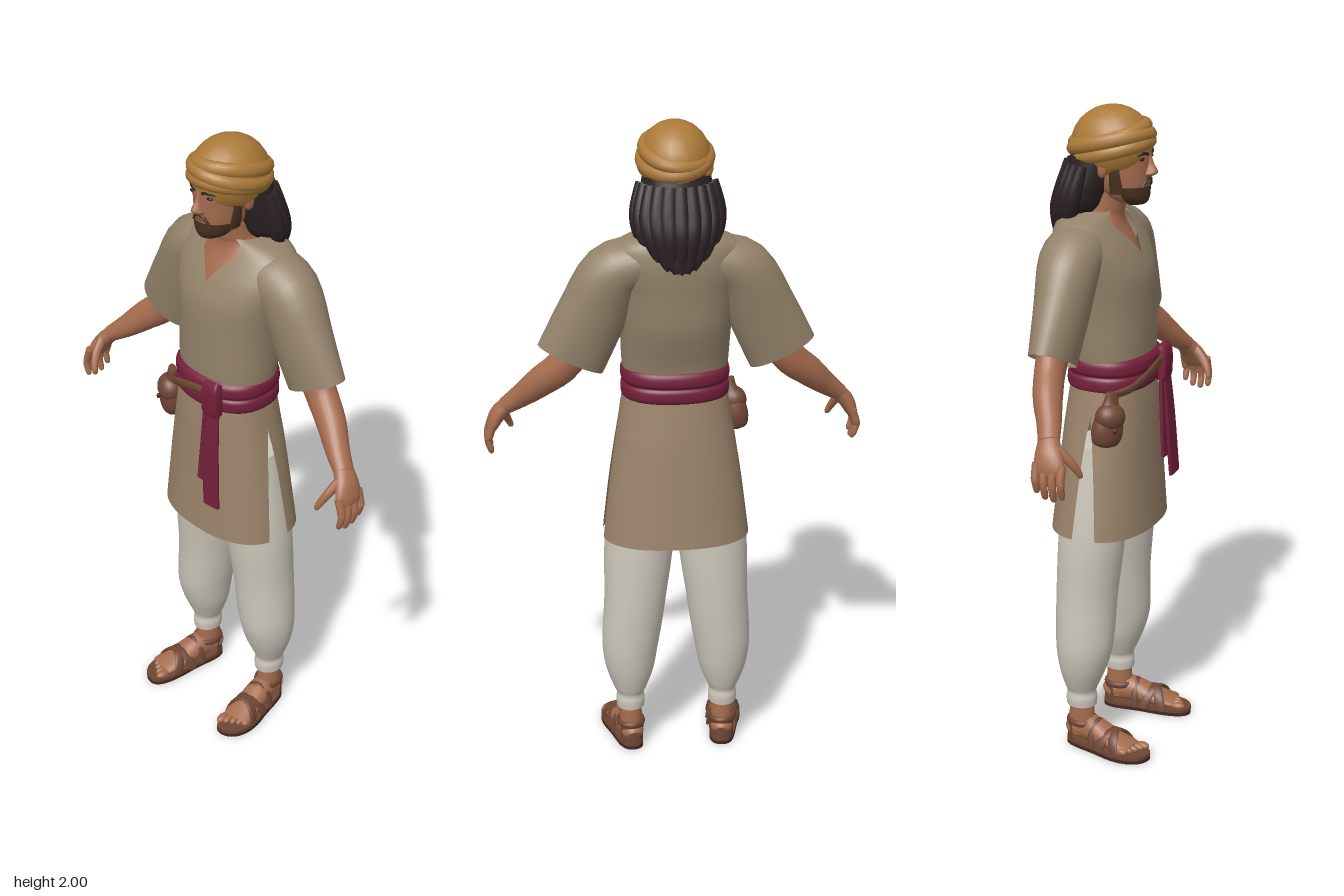
import * as THREE from 'three';

const mat = (name, color, side = THREE.FrontSide) => {
  const m = new THREE.MeshStandardMaterial({ color, side });
  m.name = name;
  return m;
};
const D = THREE.DoubleSide, PI = Math.PI;

// Catmull-Rom interpolation between rows of numbers
function smooth(rows, k) {
  const out = [], n = rows.length - 1;
  for (let i = 0; i < n; i++) for (let s = 0; s < k; s++) {
    const t = s / k, p = [rows[Math.max(i - 1, 0)], rows[i], rows[i + 1], rows[Math.min(i + 2, n)]];
    out.push(rows[i].map((_, c) => {
      const [a, b, d, e] = p.map(r => r[c]);
      return b + 0.5 * t * (d - a + t * (2 * a - 5 * b + 4 * d - e + t * (3 * (b - d) + e - a)));
    }));
  }
  out.push(rows[n]);
  return out;
}

// Skin over oval sections. Row: [x, y, z, radiusU, radiusV, startAngle, endAngle]
// level: keep sections horizontal; e: 1 is oval, less is squarer; ref: direction of radiusV
function loft(rows, { k = 4, seg = 24, level = false, e = 1, ref = [0, 0, 1], caps = true } = {}) {
  const closed = rows[0].length === 5;
  const R = smooth(rows.map(r => closed ? [...r, 0, 2 * PI] : r), k);
  const C = R.map(r => new THREE.Vector3(r[0], r[1], r[2]));
  const pos = [], idx = [], W = seg + 1, n = R.length;
  const pw = v => Math.sign(v) * Math.abs(v) ** e;
  R.forEach((r, i) => {
    const t = C[Math.min(i + 1, n - 1)].clone().sub(C[Math.max(i - 1, 0)]);
    if (level) t.set(0, Math.sign(t.y), 0);
    t.normalize();
    const v = new THREE.Vector3(...ref);
    v.addScaledVector(t, -v.dot(t)).normalize();
    const u = v.clone().cross(t);
    for (let j = 0; j <= seg; j++) {
      const a = r[5] + (r[6] - r[5]) * j / seg;
      const p = C[i].clone().addScaledVector(u, r[3] * pw(Math.cos(a))).addScaledVector(v, r[4] * pw(Math.sin(a)));
      pos.push(p.x, p.y, p.z);
    }
  });
  const nx = j => closed ? (j + 1) % seg : j + 1;
  for (let i = 0; i < n - 1; i++) for (let j = 0; j < seg; j++) {
    const a = i * W + j, b = i * W + nx(j), c = b + W, d = a + W;
    idx.push(a, b, c, a, c, d);
  }
  if (caps && closed) [0, n - 1].forEach(i => {
    const base = pos.length / 3;
    for (let j = 0; j < seg; j++) pos.push(...pos.slice((i * W + j) * 3, (i * W + j) * 3 + 3));
    pos.push(C[i].x, C[i].y, C[i].z);
    for (let j = 0; j < seg; j++) {
      const a = base + j, b = base + (j + 1) % seg;
      idx.push(...(i ? [a, b, base + seg] : [b, a, base + seg]));
    }
  });
  const g = new THREE.BufferGeometry();
  g.setAttribute('position', new THREE.Float32BufferAttribute(pos, 3));
  g.setIndex(idx);
  g.computeVertexNormals();
  return g;
}

export function createModel() {
  const M = {
    tunic: mat('tunic cloth', 0x94826a, D), skirt: mat('skirt cloth', 0x9a836a, D),
    sash: mat('sash red', 0x74203a), turban: mat('turban ochre', 0xac7a39),
    hair: mat('hair black', 0x2b2122), skin: mat('skin', 0xa56c4e),
    leather: mat('leather', 0x6f4634), pants: mat('trouser white', 0xccc6ba, D),
    sole: mat('sole dark', 0x402822), beard: mat('beard brown', 0x47301f, D),
  };
  const root = new THREE.Group();
  const add = (name, geo, m, parent = root) => {
    const mesh = new THREE.Mesh(geo, m);
    mesh.name = name;
    parent.add(mesh);
    return mesh;
  };
  const ball = (name, m, p, s, parent = root) => {
    const b = add(name, new THREE.SphereGeometry(1, 20, 14), m, parent);
    b.position.set(...p);
    b.scale.set(...s);
    return b;
  };
  const lv = (o = {}) => ({ level: true, seg: 40, ...o });

  // Tunic body, with a neck slit at the front
  const body = [[1.2, 0, .152, .112, 0], [1.28, -.003, .16, .118, 0], [1.4, -.02, .166, .134, 0], [1.5, -.026, .18, .135, 0],
    [1.565, -.04, .198, .126, 0], [1.61, -.052, .2, .113, .12], [1.65, -.062, .185, .096, .3], [1.677, -.064, .14, .082, .42], [1.692, -.058, .08, .074, .5]];
  add('tunicBody', loft(body.map(([y, z, rx, rz, g]) => [0, y, z, rx, rz, PI / 2 + g, 2.5 * PI - g]), lv({ e: .88, seg: 48 })), M.tunic);

  // Tunic skirt: front and back panels with side slits
  const skirt = [[1.22, 0, .152, .112, 0], [1.1, -.003, .17, .126, 0], [1.03, -.006, .182, .132, .25], [.9, -.01, .202, .141, .65], [.72, -.015, .225, .155, 1]];
  add('skirtFront', loft(skirt.map(([y, z, rx, rz, g]) => [0, y, z, rx, rz, .24 * g, PI - .24 * g]), lv({ e: .85 })), M.skirt);
  add('skirtBack', loft(skirt.map(([y, z, rx, rz, g]) => [0, y, z, rx, rz, PI + .13 * g, 2 * PI - .13 * g]), lv({ e: .85 })), M.skirt);

  // Sash, knot, hanging tails
  add('sash', loft([[0, 1.165, 0, .15, .112], [0, 1.177, 0, .162, .127], [0, 1.205, 0, .162, .128], [0, 1.216, 0, .156, .122],
    [0, 1.228, 0, .163, .13], [0, 1.255, 0, .162, .128], [0, 1.268, 0, .15, .114]], lv({ e: .85 })), M.sash);
  const flat = { e: .4, seg: 16 };
  add('sashKnot', loft([[.072, 1.165, .127, .028, .012], [.072, 1.18, .13, .032, .018], [.072, 1.25, .13, .032, .018], [.07, 1.27, .12, .028, .012]], flat), M.sash);
  add('sashTail', loft([[.078, 1.2, .132, .024, .007], [.083, 1.05, .146, .03, .007], [.096, .858, .157, .032, .006]], flat), M.sash);
  add('sashTail', loft([[.06, 1.2, .13, .02, .006], [.055, 1.05, .138, .023, .006], [.05, .925, .146, .024, .005]], flat), M.sash);

  // Pouch and its strap
  const strap = [];
  for (let i = 0; i <= 6; i++) {
    const x = -.163 + .035 * i;
    strap.push([x, 1.165 + .07 * Math.sin(i / 6 * PI / 2), .137 * (1 - Math.abs(x / .17) ** 2.35) ** .425, .014, .006]);
  }
  add('pouchStrap', loft(strap, { seg: 12 }), M.leather);
  const pouch = new THREE.Group();
  pouch.name = 'pouch';
  pouch.position.set(-.183, 1.09, .06);
  pouch.rotation.set(0, -.6, -.15);
  root.add(pouch);
  add('pouchBag', loft([[0, -.07, 0, .02, .014], [0, -.058, 0, .042, .03], [0, -.02, 0, .05, .038], [0, .03, 0, .04, .03], [0, .065, 0, .024, .018], [0, .095, 0, .02, .012]], lv()), M.leather, pouch);
  ball('pouchFlap', M.leather, [0, .022, .006], [.047, .043, .04], pouch);
  ball('pouchToggle', M.sole, [0, -.012, .042], [.007, .009, .006], pouch);

  // Neck and chest, head
  add('neck', loft([[0, 1.5, -.03, .1, .12], [0, 1.58, -.045, .12, .108], [0, 1.64, -.052, .1, .084], [0, 1.675, -.045, .068, .07],
    [0, 1.7, -.033, .058, .064], [0, 1.79, -.012, .056, .06]], lv()), M.skin);
  add('head', loft([[0, 1.715, .05, .03, .04], [0, 1.735, .036, .054, .064], [0, 1.77, .02, .069, .087], [0, 1.82, .008, .077, .102],
    [0, 1.87, .001, .08, .111], [0, 1.93, 0, .07, .1]], lv()), M.skin);
  add('nose', loft([[0, 1.793, .1, .012, .008], [0, 1.803, .106, .02, .024], [0, 1.812, .108, .017, .028], [0, 1.835, .106, .01, .017], [0, 1.868, .1, .009, .012]], lv({ seg: 16 })), M.skin);
  add('beard', loft([[0, 1.709, .052, .018, .026], [0, 1.717, .052, .036, .048], [0, 1.737, .038, .059, .07], [0, 1.768, .02, .072, .089]].map((r, i) => [...r, .05 + .06 * i, PI - .05 - .06 * i]), lv()), M.beard);
  add('mouth', new THREE.SphereGeometry(1, 16, 8).scale(.02, .005, .006).translate(0, 1.777, .105), M.leather);
  for (const s of [-1, 1]) {
    add('moustache', loft([[0, 1.79, .109, .004, .005], [s * .016, 1.787, .107, .005, .005], [s * .031, 1.766, .1, .003, .005]], { seg: 10 }), M.beard);
    add('sideburn', loft([[s * .076, 1.84, .03, .005, .014], [s * .074, 1.8, .032, .006, .018], [s * .066, 1.75, .035, .006, .022]], { seg: 12 }), M.beard);
    ball('ear', M.skin, [s * .084, 1.825, -.005], [.01, .028, .018]);
    ball('eye', M.hair, [s * .032, 1.85, .1], [.014, .005, .006]);
    add('eyebrow', loft([[s * .014, 1.863, .111, .004, .004], [s * .034, 1.868, .105, .005, .004], [s * .056, 1.861, .087, .002, .004]], { seg: 10 }), M.hair);
  }

  // Hair mass and locks
  add('hair', loft([[0, 1.87, -.035, .095, .09], [0, 1.8, -.06, .108, .084], [0, 1.74, -.085, .12, .08], [0, 1.7, -.1, .116, .076],
    [0, 1.655, -.13, .09, .052], [0, 1.615, -.158, .055, .028], [0, 1.59, -.172, .025, .012]], lv()), M.hair);
  for (let i = -5; i <= 5; i++) {
    const a = i / 5 * 1.5, x = Math.sin(a), c = Math.cos(a);
    add('hairLock', loft([[x * .1, 1.83, -.05 - .085 * c, .02, .015], [x * .115, 1.75, -.07 - .085 * c, .026, .022],
      [x * .108, 1.69, -.088 - .083 * c, .024, .022], [x * .085, 1.65 - .03 * c, -.105 - .07 * c, .016, .014], [x * .07, 1.635 - .05 * c, -.11 - .07 * c, .003, .003]], { seg: 12 }), M.hair);
  }

  // Turban: crown and wound rolls
  const turban = new THREE.Group();
  turban.name = 'turban';
  turban.position.set(0, 1.878, -.007);
  turban.rotation.x = -.25;
  root.add(turban);
  ball('turbanCrown', M.turban, [0, .005, 0], [.107, .113, .124], turban);
  [[-.01, .092, .02, .03], [.012, .095, .021, -.1], [.033, .09, .02, .1]].forEach(([y, r, t, tilt]) => {
    const roll = add('turbanRoll', new THREE.TorusGeometry(r, t, 12, 48).rotateX(PI / 2).scale(1, 1.1, 1.18), M.turban, turban);
    roll.position.y = y;
    roll.rotation.z = tilt;
  });

  for (const s of [-1, 1]) {
    const at = rows => rows.map(([x, ...r]) => [s * x, ...r]);
    // Sleeve, arm, hand
    add('sleeve', loft(at([[.1, 1.6, -.06, .07, .09], [.188, 1.563, -.058, .092, .092], [.25, 1.44, -.055, .103, .078], [.315, 1.306, -.055, .106, .063]]), { caps: false, seg: 32 }), M.tunic);
    add('arm', loft(at([[.24, 1.46, -.055, .06, .05], [.325, 1.3, -.055, .052, .045], [.4, 1.23, -.03, .046, .043], [.46, 1.175, .002, .035, .036], [.51, 1.135, .025, .025, .031]])), M.skin);
    add('palm', loft(at([[.5, 1.143, .02, .024, .03], [.53, 1.11, .033, .024, .04], [.548, 1.075, .042, .019, .047], [.555, 1.055, .044, .012, .042]])), M.skin);
    for (let i = 0; i < 4; i++) {
      const z = .004 + .026 * i, tip = [.02, .004, 0, .01][i];
      add('finger', loft(at([[.547, 1.085, z, .012, .013], [.56, 1.045, z + .001, .012, .012], [.563, 1.015 + tip, z + .003, .01, .011], [.554, .984 + tip, z + .003, .008, .009], [.552, .977 + tip, z + .003, .002, .002]]), { seg: 12 }), M.skin);
    }
    add('thumb', loft(at([[.52, 1.125, .05, .014, .016], [.51, 1.09, .085, .013, .015], [.498, 1.06, .105, .011, .011], [.49, 1.04, .112, .008, .008], [.488, 1.034, .113, .002, .002]]), { seg: 12 }), M.skin);

    // Loose trouser leg with gathered cuff
    add('trouserLeg', loft(at([[.095, 1, -.015, .085, .09], [.112, .72, -.024, .106, .101], [.127, .52, -.035, .096, .095], [.137, .42, -.036, .092, .092],
      [.145, .34, -.037, .086, .088], [.146, .27, -.042, .074, .074], [.146, .21, -.047, .052, .054], [.146, .187, -.047, .042, .046], [.146, .165, -.047, .045, .049], [.146, .14, -.047, .043, .047]]), lv()), M.pants);

    // Sandalled foot
    const foot = new THREE.Group();
    foot.name = 'foot';
    foot.position.set(s * .146, 0, -.045);
    foot.rotation.y = s * .16;
    root.add(foot);
    const outline = new THREE.Shape();
    outline.moveTo(0, -.052);
    outline.bezierCurveTo(s * .05, -.052, s * .038, .03, s * .052, .1);
    outline.bezierCurveTo(s * .066, .17, s * .045, .235, -s * .008, .237);
    outline.bezierCurveTo(-s * .062, .24, -s * .052, .15, -s * .042, .08);
    outline.bezierCurveTo(-s * .036, .02, -s * .05, -.052, 0, -.052);
    const slab = (top, h) => new THREE.ExtrudeGeometry(outline, { depth: h, bevelEnabled: false, curveSegments: 14 }).rotateX(PI / 2).translate(0, top, 0);
    add('soleBottom', slab(.011, .011), M.sole, foot);
    add('soleTop', slab(.022, .011), M.leather, foot);
    add('ankle', loft([[0, .04, -.003, .034, .042], [0, .09, -.002, .035, .042], [0, .17, -.002, .033, .037]], lv()), M.skin, foot);
    add('footTop', loft([[0, .045, -.046, .02, .02], [0, .052, -.03, .034, .03], [0, .062, .03, .038, .042], [0, .05, .09, .043, .033], [0, .038, .15, .048, .02], [0, .033, .185, .042, .012]], { ref: [0, 1, 0] }), M.skin, foot);
    for (let i = 0; i < 5; i++)
      ball('toe', M.skin, [s * (-.034 + .0185 * i), .032, .2 - .009 * i], [i ? .0105 : .014, .012, .024], foot);
    // Straps over the instep and round the ankle
    const band = (w, h, z0, z1, half) => {
      const rows = [];
      for (let i = 0; i <= 8; i++) {
        const a = PI * i / 8;
        rows.push([w * Math.cos(a), .018 + h * Math.sin(a), z0 + (z1 - z0) * i / 8, .005, half]);
      }
      add('sandalStrap', loft(rows, { seg: 12, k: 2 }), M.leather, foot);
    };
    band(.05, .06, .09, .15, .016);
    band(.05, .06, .15, .09, .016);
    band(.046, .078, .05, .06, .012);
    add('ankleStrap', new THREE.TorusGeometry(.039, .006, 8, 28).rotateX(PI / 2).scale(1, 1.8, 1.15).translate(0, .082, 0), M.leather, foot);
    add('heelGuard', loft([[0, .02, -.002, .038, .049, 1.05 * PI, 1.95 * PI], [0, .075, -.002, .039, .047, 1.1 * PI, 1.9 * PI]], lv()), M.leather, foot);
  }
  return root;
}
